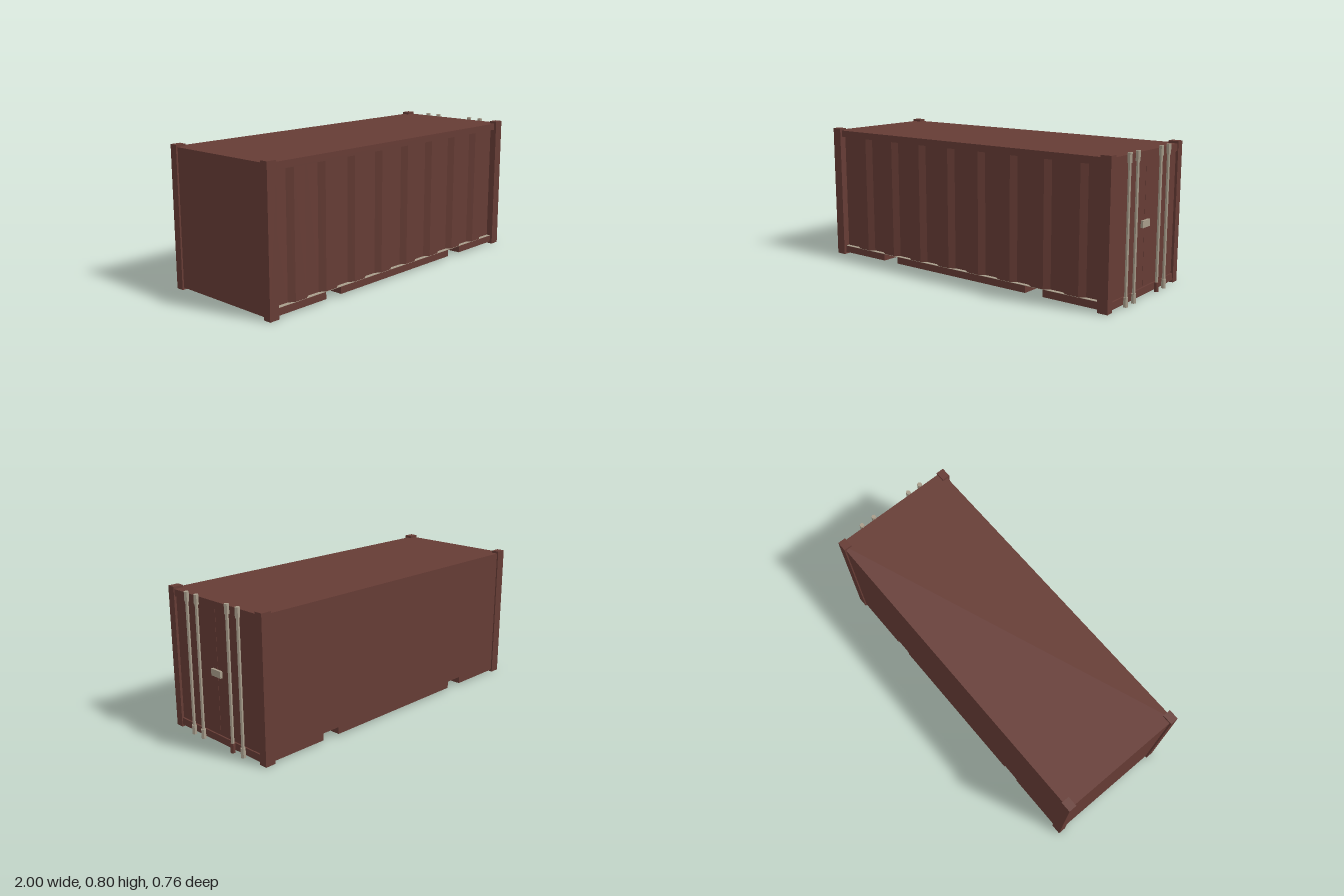
import * as THREE from 'three';

const red = new THREE.MeshStandardMaterial({ color: 0x663c35 });
const steel = new THREE.MeshStandardMaterial({ color: 0xa89d8b });

export function createModel() {
  const model = new THREE.Group();
  const add = (name, geometry, material = red) => {
    const mesh = new THREE.Mesh(geometry, material);
    mesh.name = name;
    model.add(mesh);
    return mesh;
  };
  // Box given by its limits on each axis
  const box = (name, [x0, x1], [y0, y1], [z0, z1], material) =>
    add(name, new THREE.BoxGeometry(x1 - x0, y1 - y0, z1 - z0), material)
      .position.set((x0 + x1) / 2, (y0 + y1) / 2, (z0 + z1) / 2);

  // Corner posts
  for (const [x0, x1] of [[-1, -0.94], [0.92, 0.98]]) {
    for (const z of [[-0.38, -0.333], [0.333, 0.38]]) box('cornerPost', [x0, x1], [0, 0.797], z);
  }

  // Roof slab, whose edges are the top rails
  box('roof', [-0.99, 0.975], [0.745, 0.784], [-0.372, 0.365]);

  // Base in three pieces, leaving two fork pockets
  for (const x of [[-0.99, -0.597], [-0.485, 0.465], [0.577, 0.975]]) {
    box('baseSection', x, [0.012, 0.052], [-0.372, 0.365]);
  }
  box('floor', [-0.985, 0.965], [0.0515, 0.0535], [-0.365, 0.364], steel);

  // Flat back and end walls
  box('backWall', [-0.99, 0.96], [0.052, 0.745], [-0.372, -0.345]);
  box('endWall', [-0.99, -0.96], [0.052, 0.745], [-0.36, 0.355]);

  // Corrugated front wall: trapezoid ribs swept up the height
  const inner = 0.34, outer = 0.363, pitch = 0.219, slope = 0.034;
  const wall = new THREE.Shape();
  wall.moveTo(-0.96, -0.325);
  wall.lineTo(-0.96, -inner);
  for (let i = 0; i < 8; i++) {
    const x = -0.846 + i * pitch;
    wall.lineTo(x, -inner);
    wall.lineTo(x + slope, -outer);
    wall.lineTo(x + pitch / 2, -outer);
    wall.lineTo(x + pitch / 2 + slope, -inner);
  }
  wall.lineTo(0.95, -inner);
  wall.lineTo(0.95, -0.325);
  const wallGeometry = new THREE.ExtrudeGeometry(wall, { depth: 0.693, bevelEnabled: false });
  wallGeometry.rotateX(-Math.PI / 2);
  add('corrugatedFrontWall', wallGeometry).position.y = 0.052;

  // Pair of doors with a narrow seam, set back from the frame
  box('leftDoor', [0.94, 0.966], [0.052, 0.745], [0.001, 0.34]);
  box('rightDoor', [0.94, 0.966], [0.052, 0.745], [-0.34, -0.001]);
  box('latchPlate', [0.96, 0.98], [0.38, 0.418], [-0.037, 0.039], steel);

  // Hexagonal locking rods with a bracket at each end
  const prism = (name, radius, y0, y1, z, material) => {
    const geometry = new THREE.CylinderGeometry(radius, radius, y1 - y0, 6).toNonIndexed();
    geometry.rotateY(Math.PI / 2);
    geometry.computeVertexNormals();
    add(name, geometry, material).position.set(0.986, (y0 + y1) / 2, z);
  };
  for (const z of [0.21, 0.127, -0.124, -0.208]) {
    prism('lockRod', 0.0095, 0.05, 0.747, z, steel);
    prism('topBracket', 0.014, 0.745, 0.797, z, steel);
    prism('bottomBracket', 0.014, 0, 0.052, z, z === -0.124 ? red : steel);
  }
  return model;
}
